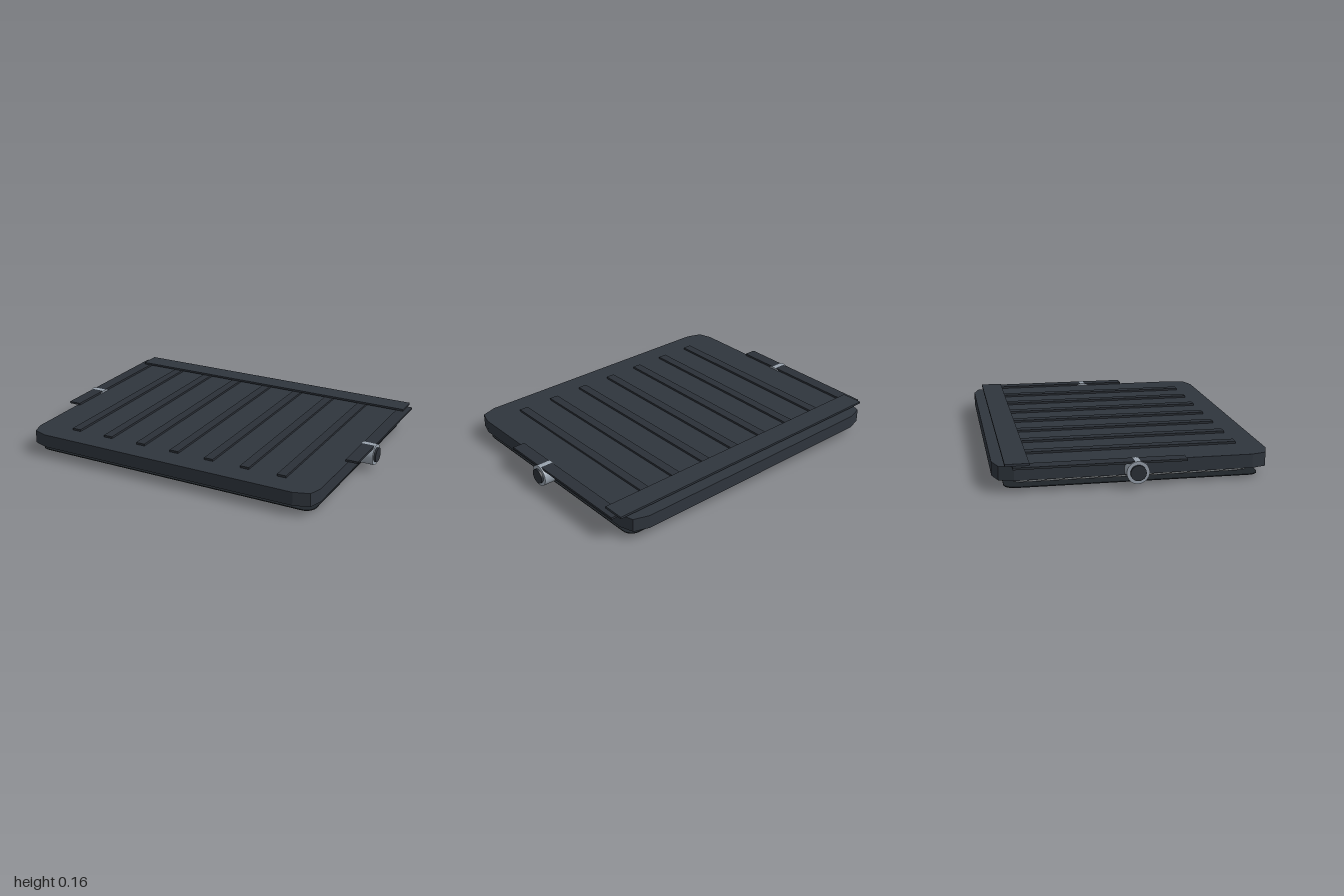
import * as THREE from 'three';

const mat = (color) => new THREE.MeshStandardMaterial({ color });
const shell = mat(0x2f353d), trim = mat(0x2b3037), bezel = mat(0x1f2429);
const steel = mat(0x98a2ad), glass = mat(0xc4cacd), board = mat(0xd0d0d0), amber = mat(0xe0b040);

// Rectangle with corners cut in a number of steps
function rounded(Ctor, w, d, r, steps = 6) {
  const pts = [];
  [[1, 1], [-1, 1], [-1, -1], [1, -1]].forEach(([sx, sy], q) => {
    for (let i = 0; i <= steps; i++) {
      const a = (q + i / steps) * Math.PI / 2;
      pts.push(new THREE.Vector2(sx * (w - r) + r * Math.cos(a), sy * (d - r) + r * Math.sin(a)));
    }
  });
  return new Ctor(pts);
}

export function createModel() {
  const root = new THREE.Group();
  const add = (name, geometry, material, x = 0, y = 0, z = 0) => {
    const m = new THREE.Mesh(geometry, material);
    m.name = name;
    m.position.set(x, y, z);
    root.add(m);
    return m;
  };
  // Horizontal slab from a flat outline, between two heights
  const slab = (name, shape, y0, y1, material, z = 0) =>
    add(name, new THREE.ExtrudeGeometry(shape, { depth: y1 - y0, bevelEnabled: false })
      .rotateX(-Math.PI / 2), material, 0, y0, z);
  const box = (name, w, h, d, material, x, y, z) =>
    add(name, new THREE.BoxGeometry(w, h, d), material, x, y, z);

  // Housing with faceted corners
  const corner = [[0.92, 0.65], [0.895, 0.73], [0.805, 0.76]];
  const back = [...corner].reverse();
  const outline = [
    ...corner, ...back.map(([x, z]) => [-x, z]),
    ...corner.map(([x, z]) => [-x, -z]), ...back.map(([x, z]) => [x, -z]),
  ].map(([x, z]) => new THREE.Vector2(x, z));
  slab('housing', new THREE.Shape(outline), 0.062, 0.14, shell);

  // Cooling ribs along the top
  for (let i = -3; i <= 3; i++) box('topRib', 0.055, 0.012, 1.24, trim, i * 0.225, 0.146, 0);

  // Rear hood strip
  box('rearHood', 1.9, 0.012, 0.13, shell, 0, 0.158, -0.635);

  // Side flanges and pivot knobs
  for (const s of [-1, 1]) {
    box('sideFlange', 0.075, 0.012, 0.93, trim, s * 0.9425, 0.146, -0.195);
    add('pivotCollar', new THREE.CylinderGeometry(0.062, 0.062, 0.088, 32).rotateZ(Math.PI / 2),
      steel, s * 0.944, 0.092, 0);
    add('pivotCap', new THREE.CylinderGeometry(0.043, 0.043, 0.03, 32).rotateZ(Math.PI / 2),
      trim, s * 0.985, 0.092, 0);
  }

  // Light board with emitters
  slab('lightBoard', rounded(THREE.Shape, 0.79, 0.62, 0.03), 0.043, 0.052, board);
  for (let i = 0; i < 4; i++)
    for (const z of [-0.25, 0.25]) box('emitter', 0.04, 0.008, 0.04, amber, -0.39 + i * 0.26, 0.039, z);

  // Glass pane and the bezel frame below it
  slab('glassPane', rounded(THREE.Shape, 0.826, 0.65, 0.03), 0.026, 0.03, glass);
  const frame = rounded(THREE.Shape, 0.893, 0.7, 0.06);
  frame.holes.push(rounded(THREE.Path, 0.81, 0.638, 0.04));
  slab('bezelFrame', frame, 0.014, 0.019, bezel);

  // Rounded cover over the rear part of the glass
  slab('rearCover', rounded(THREE.Shape, 0.753, 0.163, 0.06), 0.016, 0.022, bezel, -0.537);

  // Corner screws
  for (const x of [-0.79, 0.79])
    for (const z of [-0.625, 0.625])
      add('screw', new THREE.CylinderGeometry(0.018, 0.018, 0.016, 16), steel, x, 0.008, z);

  return root;
}
